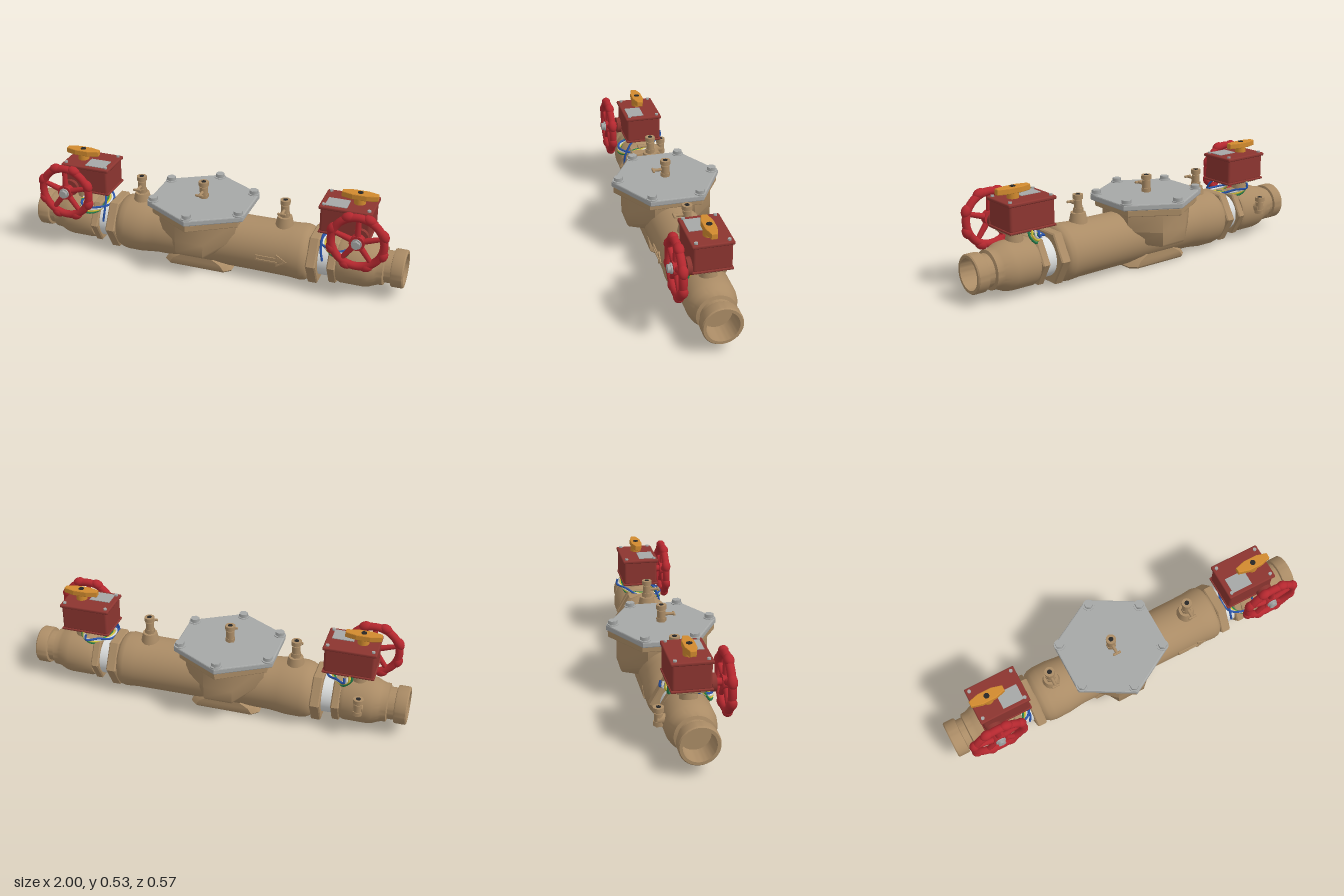
import * as THREE from 'three';
import { toCreasedNormals } from 'three/addons/utils/BufferGeometryUtils.js';
import { RoundedBoxGeometry } from 'three/addons/geometries/RoundedBoxGeometry.js';

const mat = (name, color) => {
  const m = new THREE.MeshStandardMaterial({ color });
  m.name = name;
  return m;
};
const bronze = mat('bronze', 0xab8c66), boxRed = mat('box red', 0x8c3530), wheelRed = mat('wheel red', 0xb5282f);
const orange = mat('orange', 0xd18a2e), steel = mat('steel', 0xa6a8a7), white = mat('white', 0xdcdedd);
const blue = mat('blue', 0x2a56ae), green = mat('green', 0x24804c), yellow = mat('yellow', 0xd6c53c), black = mat('black', 0x262626);

const AXIS = 0.153; // height of the pipe centre line
const CX = -0.067; // centre of the access cover

function add(parent, name, geo, material, x = 0, y = 0, z = 0) {
  const m = new THREE.Mesh(geo, material);
  m.name = name;
  m.position.set(x, y, z);
  parent.add(m);
  return m;
}
const cyl = (r, h, seg = 24, top = r) => new THREE.CylinderGeometry(top, r, h, seg);
const cylX = (r, h, seg = 48) => cyl(r, h, seg).rotateZ(-Math.PI / 2);
const cylZ = (r, h, seg = 24) => cyl(r, h, seg).rotateX(Math.PI / 2);
const pts = (list) => list.map(([a, b]) => new THREE.Vector2(a, b));

// Revolved profile [x, radius] about the x axis, s = -1 turns it towards -x
function revolve(profile, s = 1) {
  const p = profile.map(([x, r]) => new THREE.Vector2(r, x));
  return toCreasedNormals(new THREE.LatheGeometry(p, 64).rotateZ(-s * Math.PI / 2), 0.6);
}

// Flat plate lying in the xz plane, standing on its own y = 0
function plate(list, h, bevel = 0.004) {
  return new THREE.ExtrudeGeometry(new THREE.Shape(pts(list)), {
    depth: h - 2 * bevel, bevelSize: bevel, bevelThickness: bevel, bevelOffset: -bevel, bevelSegments: 2,
  }).rotateX(-Math.PI / 2).translate(0, bevel, 0);
}
const hexPlan = (a, b, c) => [[a, -b], [a, b], [0, c], [-a, b], [-a, -b], [0, -c]];

// Skin over octagonal rings {y, a: half length, b: end half depth, c: half flat, d: half depth}
function loft(rings) {
  const ring = ({ y, a, b, c, d }) => [[a, b], [a, -b], [c, -d], [-c, -d], [-a, -b], [-a, b], [-c, d], [c, d]].map(([x, z]) => [x, y, z]);
  const loops = rings.map(ring), pos = [];
  const tri = (...v) => v.forEach((p) => pos.push(...p));
  for (let k = 0; k + 1 < loops.length; k++) {
    for (let i = 0; i < 8; i++) {
      const j = (i + 1) % 8, [t, b] = [loops[k], loops[k + 1]];
      tri(b[i], b[j], t[j]);
      tri(b[i], t[j], t[i]);
    }
  }
  const last = loops[loops.length - 1];
  for (let i = 1; i < 7; i++) tri(last[0], last[i + 1], last[i]);
  const g = new THREE.BufferGeometry();
  g.setAttribute('position', new THREE.Float32BufferAttribute(pos, 3));
  return toCreasedNormals(g, 0.75);
}

// Hexagonal union nut with chamfered corners, flats at top and bottom
function nut(parent, name, x, corner, width) {
  const shape = new THREE.Shape(pts([...Array(6)].map((_, i) => [corner * Math.cos(i * Math.PI / 3), corner * Math.sin(i * Math.PI / 3)])));
  const b = 0.006;
  const geo = new THREE.ExtrudeGeometry(shape, { depth: width - 2 * b, bevelSize: b, bevelThickness: b, bevelOffset: -b, bevelSegments: 1 });
  geo.translate(0, 0, -(width - 2 * b) / 2).rotateY(Math.PI / 2);
  add(parent, name, geo, bronze, x, AXIS, 0);
}

// Small test cock, base at y
function testCock(parent, x, y, z) {
  const g = new THREE.Group();
  g.name = 'testCock';
  g.position.set(x, y, z);
  add(g, 'cockBase', cyl(0.026, 0.022, 6), bronze, 0, 0.011, 0);
  add(g, 'cockBody', cyl(0.021, 0.045), bronze, 0, 0.04, 0);
  add(g, 'cockNeck', cyl(0.016, 0.02), bronze, 0, 0.066, 0);
  add(g, 'cockTop', cyl(0.026, 0.022), bronze, 0, 0.081, 0);
  add(g, 'cockPort', cyl(0.012, 0.002), black, 0, 0.0925, 0);
  add(g, 'cockLeverStem', cylZ(0.008, 0.06, 12), bronze, 0, 0.04, 0.035);
  add(g, 'cockLever', new RoundedBoxGeometry(0.044, 0.012, 0.012, 2, 0.004), bronze, 0, 0.04, 0.064);
  parent.add(g);
}

// Lobed handwheel facing +z
function handwheel(parent, x, y, z) {
  const g = new THREE.Group();
  g.name = 'handwheel';
  g.position.set(x, y, z);
  add(g, 'wheelRim', new THREE.TorusGeometry(0.131, 0.02, 16, 64), wheelRed);
  for (let i = 0; i < 8; i++) {
    const a = (i + 0.5) * Math.PI / 4;
    const lobe = add(g, 'wheelLobe', new THREE.SphereGeometry(0.024, 20, 14), wheelRed, 0.138 * Math.cos(a), 0.138 * Math.sin(a), 0);
    lobe.rotation.z = a;
    lobe.scale.set(1, 1.4, 1);
  }
  for (let i = 0; i < 5; i++) {
    const spoke = cyl(0.016, 0.11, 14, 0.012).translate(0, 0.075, 0);
    add(g, 'wheelSpoke', spoke, wheelRed).rotation.z = i * Math.PI * 2 / 5;
  }
  add(g, 'wheelHub', cylZ(0.038, 0.036), wheelRed);
  add(g, 'wheelWasher', cylZ(0.026, 0.01), steel, 0, 0, 0.021);
  add(g, 'wheelNut', cylZ(0.022, 0.016, 6), steel, 0, 0, 0.032);
  parent.add(g);
}

// Shutoff valve with gear box, handle, handwheel and wires, s gives the side
function shutoffValve(s) {
  const g = new THREE.Group();
  g.name = s > 0 ? 'leftShutoffValve' : 'rightShutoffValve';
  add(g, 'valveBody', revolve([[0.66, 0.09], [0.668, 0.114], [0.685, 0.122], [0.8, 0.122], [0.83, 0.117], [0.86, 0.104],
    [0.875, 0.099], [0.898, 0.098], [0.903, 0.082], [0.935, 0.082], [0.938, 0.094], [0.945, 0.097], [0.994, 0.097],
    [1, 0.092], [1, 0.078], [0.89, 0.076], [0.89, 0.001]], s), bronze, 0, AXIS, 0);
  add(g, 'couplingRing', cylX(0.1, 0.07), white, s * 0.6, AXIS, 0);
  nut(g, 'outerNut', s * 0.646, 0.13, 0.042);
  nut(g, 'innerNut', s * 0.546, 0.148, 0.052);

  // Stem below the gear box
  add(g, 'stem', cyl(0.046, 0.08, 32, 0.038), bronze, s * 0.745, 0.285, 0);
  add(g, 'stemFlange', new RoundedBoxGeometry(0.13, 0.016, 0.13, 2, 0.005), bronze, s * 0.745, 0.322, 0);

  // Gear box with lips, screws and label
  const bx = s * 0.696;
  add(g, 'gearBox', new RoundedBoxGeometry(0.252, 0.14, 0.188, 3, 0.014), boxRed, bx, 0.402, 0);
  add(g, 'boxLid', new RoundedBoxGeometry(0.268, 0.018, 0.2, 3, 0.007), boxRed, bx, 0.469, 0);
  add(g, 'boxRim', new RoundedBoxGeometry(0.262, 0.012, 0.196, 2, 0.005), boxRed, bx, 0.335, 0);
  for (const i of [-1, 1]) for (const j of [-1, 1]) add(g, 'boxScrew', cyl(0.009, 0.01, 12), steel, bx + i * 0.113, 0.481, j * 0.077);
  add(g, 'labelPlate', new THREE.BoxGeometry(0.11, 0.004, 0.085), steel, s * 0.645, 0.479, 0.038);

  // Position handle
  add(g, 'handleHub', cyl(0.029, 0.034, 32), orange, s * 0.745, 0.492, 0);
  const outline = [[0.09, -0.014], [0.09, 0.014], [0.035, 0.029], [-0.035, 0.029], [-0.09, 0.014], [-0.09, -0.014], [-0.035, -0.029], [0.035, -0.029]];
  add(g, 'handle', plate(outline, 0.03), orange, s * 0.745, 0.504, 0);
  add(g, 'handleScrew', cyl(0.014, 0.004, 16), black, s * 0.745, 0.535, 0);

  // Handwheel on its shaft
  add(g, 'shaftCollar', cylZ(0.043, 0.022, 32), boxRed, s * 0.778, 0.35, 0.104);
  add(g, 'shaft', cylZ(0.018, 0.07), wheelRed, s * 0.778, 0.35, 0.13);
  handwheel(g, s * 0.778, 0.35, 0.161);

  // Bundle of wires looping round the neck
  [blue, white, yellow, green].forEach((m, i) => {
    const d = (i - 1.5) * 0.011;
    const path = [[0.7 + d, 0.335, -0.1 + d], [0.7 + d, 0.305, -0.105 + d], [0.655 + d, 0.275 - d, -0.075], [0.605 + d, 0.268, -0.02],
      [0.592 + d, 0.262, 0.045], [0.612 + d, 0.25 - d, 0.1], [0.675, 0.243 - d, 0.125], [0.72, 0.25 - d, 0.105], [0.73, 0.28, 0.06 + d]];
    const curve = new THREE.CatmullRomCurve3(path.map(([x, y, z]) => new THREE.Vector3(s * x, y, z)));
    add(g, m.name + 'Wire', new THREE.TubeGeometry(curve, 48, 0.0058, 8), m);
  });
  const lead = new THREE.CatmullRomCurve3([[0.6, 0.335, 0.05], [0.588, 0.3, 0.08], [0.588, 0.24, 0.105], [0.598, 0.18, 0.107]].map(([x, y, z]) => new THREE.Vector3(s * x, y, z)));
  add(g, 'blueLead', new THREE.TubeGeometry(lead, 24, 0.006, 8), blue);
  return g;
}

export function createModel() {
  const model = new THREE.Group();
  model.name = 'doubleCheckValve';

  // Main pipe body
  add(model, 'mainBody', revolve([[-0.525, 0.001], [-0.525, 0.118], [-0.515, 0.132], [-0.495, 0.143], [-0.465, 0.149], [-0.39, 0.149],
    [-0.35, 0.144], [-0.3, 0.139], [0.2, 0.139], [0.42, 0.141], [0.48, 0.146], [0.505, 0.141], [0.518, 0.13], [0.525, 0.118], [0.525, 0.001]]),
  bronze, 0, AXIS, 0);

  // Cover housing and foot
  add(model, 'coverHousing', loft([
    { y: 0.305, a: 0.207, b: 0.105, c: 0.075, d: 0.222 }, { y: 0.21, a: 0.205, b: 0.105, c: 0.075, d: 0.222 },
    { y: 0.145, a: 0.145, b: 0.1, c: 0.073, d: 0.222 }, { y: 0.131, a: 0.132, b: 0.095, c: 0.07, d: 0.212 }]), bronze, CX, 0, 0);
  add(model, 'foot', loft([
    { y: 0.072, a: 0.11, b: 0.095, c: 0.085, d: 0.118 }, { y: 0.045, a: 0.16, b: 0.09, c: 0.13, d: 0.118 },
    { y: 0.015, a: 0.185, b: 0.085, c: 0.15, d: 0.118 }, { y: 0.005, a: 0.178, b: 0.08, c: 0.145, d: 0.11 }]), bronze, CX, 0, 0);

  // Bolted access cover
  add(model, 'coverFlange', plate(hexPlan(0.23, 0.135, 0.275), 0.036), bronze, CX, 0.3, 0);
  add(model, 'coverPlate', plate(hexPlan(0.258, 0.137, 0.284), 0.031, 0.006), steel, CX, 0.336, 0);
  for (const [x, z] of hexPlan(0.23, 0.124, 0.248)) {
    add(model, 'boltWasher', cyl(0.03, 0.006), steel, CX + x, 0.368, z);
    add(model, 'coverBolt', cyl(0.024, 0.02, 6), steel, CX + x, 0.379, z);
  }

  // Test cocks on top and at the rear of one shutoff valve
  for (const x of [-0.413, 0.37]) {
    add(model, 'cockBoss', cyl(0.052, 0.07, 32, 0.037), bronze, x, 0.302, 0);
    testCock(model, x, 0.337, 0);
  }
  testCock(model, CX, 0.364, 0);
  add(model, 'rearCockBoss', cylZ(0.024, 0.05), bronze, -0.765, 0.18, -0.125);
  testCock(model, -0.765, 0.15, -0.142);

  // Raised flow arrow
  const arrow = new THREE.Shape(pts([[-0.08, -0.014], [0.03, -0.014], [0.03, -0.034], [0.085, 0], [0.03, 0.034], [0.03, 0.014], [-0.08, 0.014]]));
  arrow.holes.push(new THREE.Path(pts([[-0.073, -0.007], [-0.073, 0.007], [0.037, 0.007], [0.037, 0.022], [0.071, 0], [0.037, -0.022], [0.037, -0.007]])));
  add(model, 'flowArrow', new THREE.ExtrudeGeometry(arrow, { depth: 0.009, bevelEnabled: false }), bronze, 0.34, AXIS, 0.136);

  for (const s of [-1, 1]) model.add(shutoffValve(s));
  return model;
}
